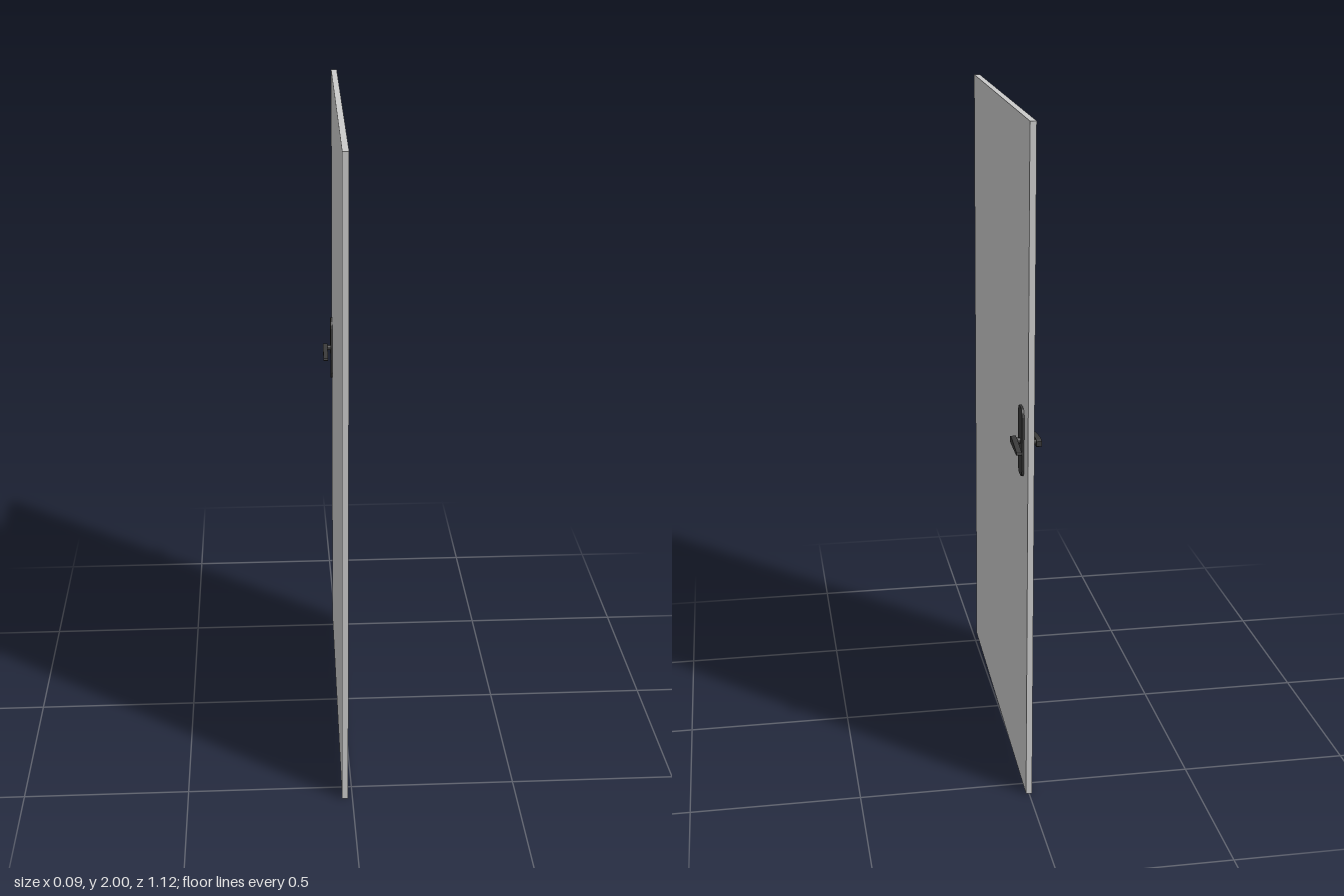
import * as THREE from 'three';

const doorMat = new THREE.MeshStandardMaterial({ color: 0xcccccc });
const metalMat = new THREE.MeshStandardMaterial({ color: 0x3a3a3a, flatShading: true });

const SLAB = { height: 2, width: 1.12, thick: 0.018 };

function part(name, geometry, material) {
  const mesh = new THREE.Mesh(geometry, material);
  mesh.name = name;
  return mesh;
}

// Flat outline pushed outwards from z0 to z1
function plate(points, z0, z1) {
  const shape = new THREE.Shape(points.map(([x, y]) => new THREE.Vector2(x, y)));
  const geo = new THREE.ExtrudeGeometry(shape, { depth: z1 - z0, bevelEnabled: false });
  return geo.translate(0, 0, z0);
}

// Rectangle outline with faceted round corners
function roundedOutline(w, h, r, steps) {
  const pts = [];
  [[1, 1], [-1, 1], [-1, -1], [1, -1]].forEach(([sx, sy], q) => {
    for (let i = 0; i <= steps; i++) {
      const a = (q + i / steps) * Math.PI / 2;
      pts.push([sx * (w / 2 - r) + r * Math.cos(a), sy * (h / 2 - r) + r * Math.sin(a)]);
    }
  });
  return pts;
}

// Backplate, spindle and drooping lever; local z points away from the door face
function handle(name) {
  const g = new THREE.Group();
  g.name = name;
  const face = SLAB.thick / 2;
  g.add(part('backplate', plate(roundedOutline(0.072, 0.205, 0.024, 3), face - 0.002, 0.0155), metalMat));

  const spindle = new THREE.CylinderGeometry(0.009, 0.009, 0.022, 12).rotateX(Math.PI / 2);
  spindle.translate(0, 0, 0.021);
  g.add(part('spindle', spindle, metalMat));

  const lever = [[-0.02, -0.007], [-0.012, -0.011], [0.012, -0.010], [0.095, -0.012],
    [0.102, -0.008], [0.1, -0.002], [0.05, 0.006], [0.012, 0.011], [-0.012, 0.011], [-0.02, 0.007]];
  g.add(part('lever', plate(lever, 0.026, 0.041), metalMat));
  return g;
}

export function createModel() {
  const model = new THREE.Group();
  model.name = 'door';

  // Door leaf, standing very slightly ajar
  const leaf = new THREE.Group();
  leaf.name = 'doorLeaf';
  leaf.position.x = -0.011;
  leaf.rotation.y = -0.02;
  model.add(leaf);

  const slab = new THREE.BoxGeometry(SLAB.thick, SLAB.height, SLAB.width).translate(0, SLAB.height / 2, 0);
  leaf.add(part('slab', slab, doorMat));

  // One handle per face, levers pointing opposite ways
  for (const [name, side, z] of [['leftHandle', 1, -0.457], ['rightHandle', -1, -0.476]]) {
    const h = handle(name);
    h.position.set(0, 1.083, z);
    h.rotation.y = side * Math.PI / 2;
    leaf.add(h);
  }
  return model;
}
